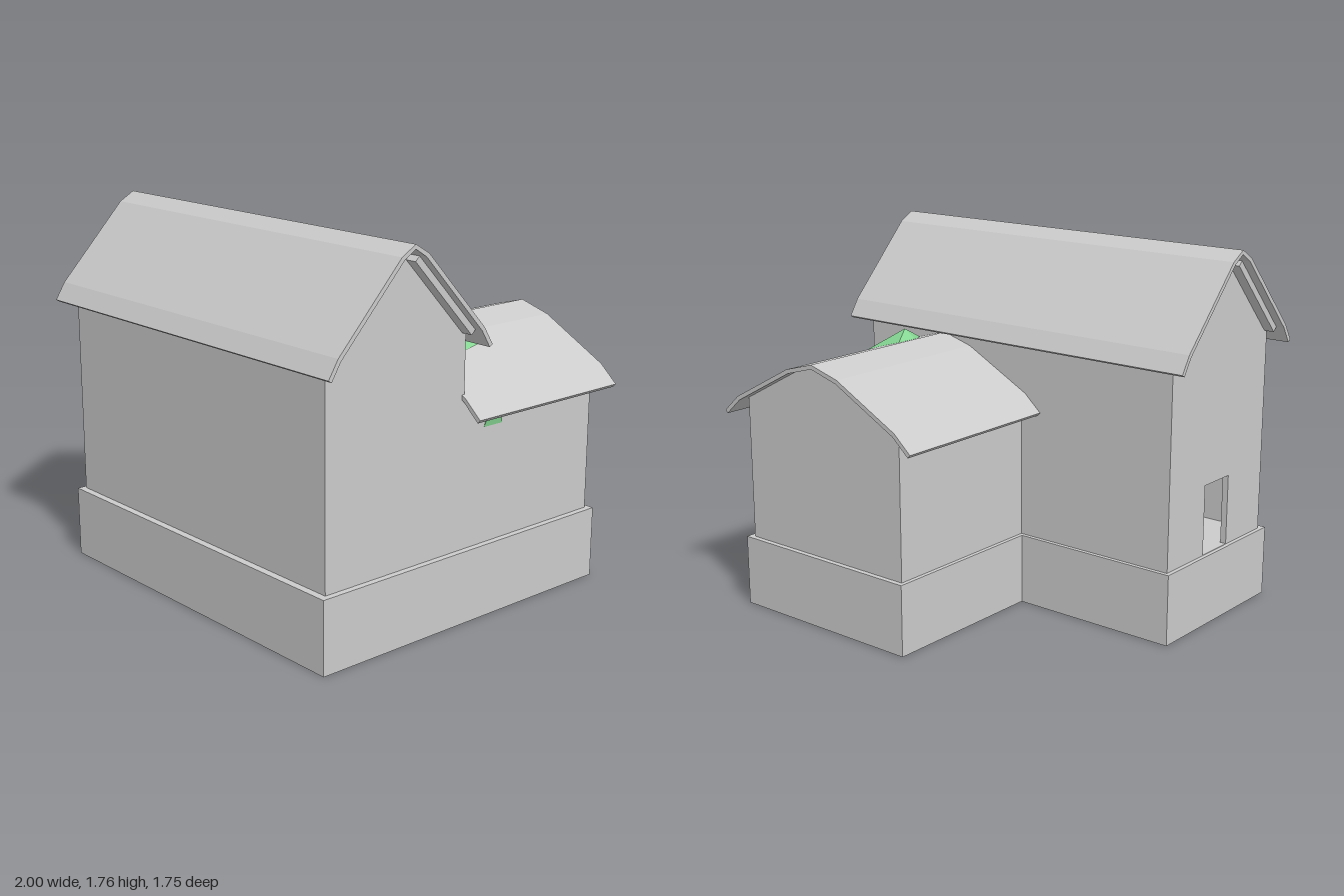
import * as THREE from 'three';
import { ConvexGeometry } from 'three/addons/geometries/ConvexGeometry.js';

const grey = new THREE.MeshStandardMaterial({ color: 0xcccccc, flatShading: true, side: THREE.DoubleSide });
const green = new THREE.MeshStandardMaterial({ color: 0x86d693, flatShading: true });
const CENTRE = 0.41; // z of the main ridge and x of the wing ridge

const toShape = (pts) => new THREE.Shape(pts.map(([x, y]) => new THREE.Vector2(x, y)));
const mirrored = (half) => [...half.map(([u, y]) => [-u, y]), ...half.slice().reverse()];

// Closed outline of a sheet: the upper line plus the same line pushed inwards
function sheet(line, thickness) {
  const v = line.map(([x, y]) => new THREE.Vector2(x, y));
  const lower = v.map((p, i) => {
    const a = v[Math.max(i - 1, 0)], b = v[Math.min(i + 1, v.length - 1)];
    const d = b.clone().sub(a).normalize();
    return [p.x + d.y * thickness, p.y - d.x * thickness];
  });
  return toShape([...line, ...lower.reverse()]);
}

export function createModel() {
  const group = new THREE.Group();
  const add = (name, geometry, material = grey) => {
    const mesh = new THREE.Mesh(geometry, material);
    mesh.name = name;
    group.add(mesh);
    return mesh;
  };
  const extrude = (shape, depth) => new THREE.ExtrudeGeometry(shape, { depth, bevelEnabled: false });
  // Profile across z, running along x
  const alongX = (name, shape, x0, x1) =>
    add(name, extrude(shape, x1 - x0).rotateY(Math.PI / 2).translate(x0, 0, CENTRE));
  // Profile across x, running along z
  const alongZ = (name, shape, z0, z1) =>
    add(name, extrude(shape, z1 - z0).translate(CENTRE, 0, z0));
  const box = (name, x0, x1, y0, y1, z0, z1) =>
    add(name, new THREE.BoxGeometry(x1 - x0, y1 - y0, z1 - z0)
      .translate((x0 + x1) / 2, (y0 + y1) / 2, (z0 + z1) / 2));

  // L-shaped plinth
  const plan = toShape([[-0.93, -0.84], [0.92, -0.84], [0.92, 0.85], [-0.09, 0.85], [-0.09, 0.005], [-0.93, 0.005]]);
  add('plinth', extrude(plan, 0.34).rotateX(-Math.PI / 2));

  // Main house: hollow, with a doorway in one end
  const T = 0.03;
  const gable = mirrored([[0.395, 0.34], [0.395, 1.355], [0.375, 1.355], [0.04, 1.71]]);
  alongX('mainGableWall', toShape(gable), 0.89 - T, 0.89);
  const doorGable = toShape(gable);
  doorGable.holes.push(new THREE.Path([[-0.1, 0.342], [0.1, 0.342], [0.1, 0.68], [-0.1, 0.68]]
    .map(([x, y]) => new THREE.Vector2(x, y))));
  alongX('doorwayWall', doorGable, -0.91, -0.91 + T);
  box('mainFrontWall', -0.91 + T, 0.89 - T, 0.34, 1.355, 0.805 - T, 0.805);
  box('mainBackWall', -0.91 + T, 0.89 - T, 0.34, 1.355, 0.015, 0.015 + T);

  // Main roof with flared eaves and a board layer beneath each slope
  const mainLine = mirrored([[0.46, 1.28], [0.41, 1.36], [0.075, 1.716]]);
  mainLine.splice(3, 0, [0, 1.76]);
  alongX('mainRoof', sheet(mainLine, 0.02), -1, 0.985);
  alongX('roofBoards', sheet([[-0.395, 1.345], [-0.06, 1.7]], 0.03), -0.96, 0.945);
  alongX('roofBoards', sheet([[0.06, 1.7], [0.395, 1.345]], 0.03), -0.96, 0.945);

  // Rear wing
  const wingGable = mirrored([[0.48, 0.34], [0.48, 1.03], [0.16, 1.205]]);
  wingGable.splice(3, 0, [0, 1.25]);
  alongZ('wingGableWall', toShape(wingGable), -0.825, -0.825 + T);
  box('wingOuterWall', 0.89 - T, 0.89, 0.34, 1.03, -0.825 + T, 0.015);
  box('wingInnerWall', -0.07, -0.07 + T, 0.34, 1.03, -0.825 + T, 0.015);
  const wingLine = mirrored([[0.59, 0.96], [0.5, 1.04], [0.16, 1.22]]);
  wingLine.splice(3, 0, [0, 1.265]);
  alongZ('wingRoof', sheet(wingLine, 0.02), -0.875, 0.03);

  // Green faceted growth poking through the roof and the side wall
  const hull = (pts) => new ConvexGeometry(pts.map((p) => new THREE.Vector3(...p)));
  add('roofGrowth', hull([
    [0.5, 1.3, -0.17], [0.435, 1.25, -0.16], [0.465, 1.25, -0.25], [0.485, 1.25, -0.085],
    [0.66, 1.18, -0.31], [0.7, 1.15, -0.045], [0.55, 1.12, -0.17],
  ]), green);
  add('wallGrowth', hull([
    [0.912, 0.98, -0.14], [0.912, 0.98, -0.2], [0.893, 0.88, -0.11], [0.893, 0.88, -0.225],
    [0.87, 0.88, -0.17], [0.87, 0.98, -0.17],
  ]), green);

  return group;
}
